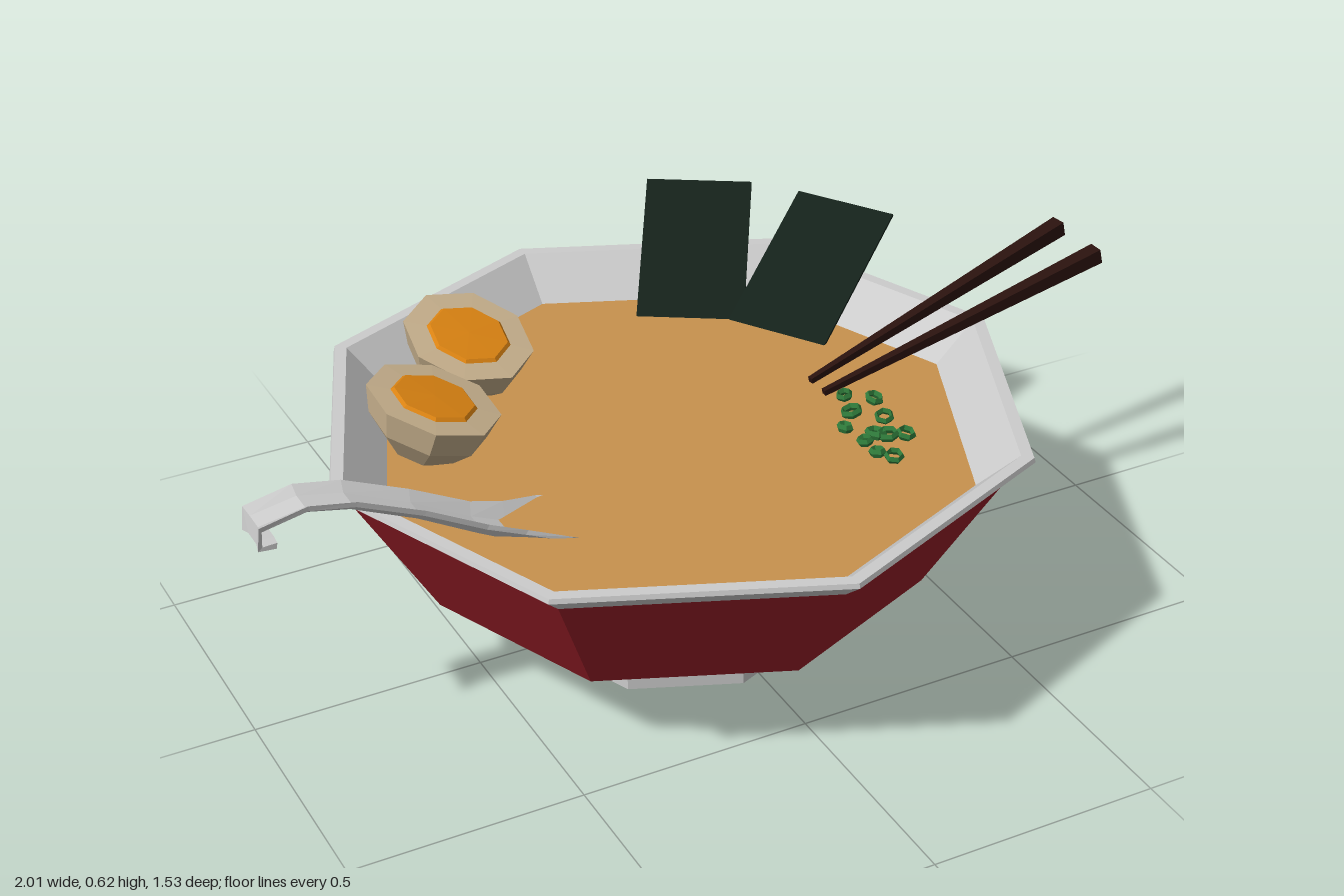
import * as THREE from 'three';

const V = (x, y, z) => new THREE.Vector3(x, y, z);
const mat = (color, side = THREE.FrontSide) =>
  new THREE.MeshStandardMaterial({ color, flatShading: true, side });

const grey = mat(0xcccccc);
const red = mat(0x9a1f28);
const broth = mat(0xc8924e);
const eggWhite = mat(0xc4ae8b);
const yolkOrange = mat(0xd98212);
const seaweed = mat(0x14211a);
const wood = mat(0x2a120e);
const green = mat(0x2f7a3a);

function add(parent, name, geometry, material) {
  const mesh = new THREE.Mesh(geometry, material);
  mesh.name = name;
  parent.add(mesh);
  return mesh;
}

// Eight-sided turned shape from [radius, height] pairs
const turned = (pairs) =>
  new THREE.LatheGeometry(pairs.map(([r, y]) => new THREE.Vector2(r, y)), 8);

// Closed skin over equal-sized rings of points, with both ends capped
function loft(rings) {
  const n = rings[0].length;
  const index = [];
  for (let i = 0; i < rings.length - 1; i++) {
    for (let j = 0; j < n; j++) {
      const a = i * n + j, b = i * n + (j + 1) % n;
      index.push(a, b, a + n, b, b + n, a + n);
    }
  }
  const last = (rings.length - 1) * n;
  for (let j = 1; j < n - 1; j++) {
    index.push(0, j + 1, j, last, last + j, last + j + 1);
  }
  const geometry = new THREE.BufferGeometry().setFromPoints(rings.flat());
  geometry.setIndex(index);
  geometry.computeVertexNormals();
  return geometry;
}

function makeBowl() {
  const bowl = new THREE.Group();
  bowl.name = 'bowl';
  bowl.position.set(-0.045, 0, 0.005);
  add(bowl, 'foot', turned([[0, 0], [0.315, 0], [0.315, 0.085]]), grey);
  add(bowl, 'outerWall', turned([[0.315, 0.085], [0.54, 0.178], [0.71, 0.465]]), red);
  add(bowl, 'rim', turned([[0.71, 0.465], [0.76, 0.508], [0.757, 0.518], [0.73, 0.518], [0.64, 0.43]]), grey);
  add(bowl, 'soup', turned([[0.642, 0.432], [0, 0.432]]), broth);
  return bowl;
}

// Halved egg, its cut face tilted by the given angles
function makeEgg(x, z, tiltX, tiltZ, turn) {
  const egg = new THREE.Group();
  egg.name = 'halfEgg';
  egg.position.set(x, 0.547, z);
  egg.rotation.set(tiltX, 0, tiltZ);
  const body = new THREE.Group();
  body.name = 'eggBody';
  body.rotation.y = turn;
  body.scale.set(0.94, 1, 1.04);
  egg.add(body);
  add(body, 'eggWhite', turned([[0, -0.13], [0.075, -0.115], [0.125, -0.06], [0.143, 0], [0.088, 0.002]]), eggWhite);
  add(body, 'yolk', turned([[0.094, 0], [0.085, 0.008], [0, 0.01]]), yolkOrange);
  return egg;
}

// Thin rectangular sheet: middle of the top edge, its width vector and its downward vector
function makeSheet(top, across, down) {
  const geometry = new THREE.BoxGeometry(across.length(), down.length(), 0.006);
  const x = across.clone().normalize();
  const y = down.clone().negate().normalize();
  const z = x.clone().cross(y).normalize();
  geometry.applyMatrix4(new THREE.Matrix4().makeBasis(x, z.clone().cross(x), z));
  const centre = top.clone().addScaledVector(down, 0.5);
  return geometry.translate(centre.x, centre.y, centre.z);
}

// Square stick, thin at the tip and thick at the end
function makeStick(tip, end) {
  const axis = end.clone().sub(tip);
  const geometry = new THREE.CylinderGeometry(0.024, 0.009, axis.length(), 4);
  geometry.rotateY(Math.PI / 4);
  // Lay the stick along +z, then aim it
  geometry.rotateX(Math.PI / 2);
  const centre = tip.clone().add(end).multiplyScalar(0.5);
  geometry.applyMatrix4(new THREE.Matrix4().lookAt(end, tip, V(0, 1, 0)));
  return geometry.translate(centre.x, centre.y, centre.z);
}

// Channelled spoon: [x, y, z, half width, edge height] along its length
function makeSpoon() {
  const stations = [
    [-0.965, 0.522, 0.108, 0.040, 0.004],
    [-0.998, 0.528, 0.107, 0.044, 0.008],
    [-0.992, 0.562, 0.107, 0.045, 0.015],
    [-0.90, 0.583, 0.115, 0.045, 0.018],
    [-0.81, 0.568, 0.124, 0.045, 0.020],
    [-0.68, 0.515, 0.138, 0.045, 0.022],
    [-0.56, 0.452, 0.151, 0.048, 0.026],
    [-0.49, 0.420, 0.160, 0.060, 0.036],
    [-0.41, 0.385, 0.172, 0.086, 0.052],
    [-0.27, 0.365, 0.187, 0.090, 0.040],
  ];
  const section = [[-1, 1], [-0.5, 0.2], [0.5, 0.2], [1, 1]];
  const rings = stations.map(([x, y, z, w, h], i) => {
    const a = stations[Math.max(i - 1, 0)], b = stations[Math.min(i + 1, stations.length - 1)];
    const normal = new THREE.Vector2(a[1] - b[1], b[0] - a[0]).normalize();
    const point = (s, lift) => V(x + normal.x * lift, y + normal.y * lift, z + s * w);
    const upper = section.map(([s, t]) => point(s, t * h));
    const lower = section.map(([s, t]) => point(s * 0.96, t * h - 0.012)).reverse();
    return [...upper, ...lower];
  });
  return loft(rings);
}

export function createModel() {
  const model = new THREE.Group();
  model.name = 'noodleSoupBowl';
  model.add(makeBowl());

  // Half eggs leaning on the rim
  model.add(makeEgg(-0.33, -0.39, 0.27, -0.08, 0.25));
  model.add(makeEgg(-0.50, -0.18, 0.10, -0.24, 0.35));

  // Seaweed sheets
  add(model, 'seaweedSheet', makeSheet(V(0.39, 0.61, -0.703), V(0.205, 0, 0.125), V(-0.18, -0.19, 0.29)), seaweed);
  add(model, 'seaweedSheet', makeSheet(V(0.634, 0.605, -0.46), V(0.13, 0, 0.2), V(-0.29, -0.185, 0.19)), seaweed);

  // Chopsticks
  for (const [z0, z1] of [[-0.035, -0.137], [0.022, -0.012 + 0.022]]) {
    add(model, 'chopstick', makeStick(V(0.305, 0.45, z0), V(0.996, 0.608, z1)), wood);
  }

  add(model, 'spoon', makeSpoon(), mat(0xcccccc, THREE.DoubleSide));

  // Chopped spring onion rings
  const spots = [
    [0.345, 0.04], [0.395, 0.08], [0.325, 0.105], [0.28, 0.155], [0.375, 0.155], [0.325, 0.205],
    [0.29, 0.22], [0.38, 0.235], [0.345, 0.22], [0.29, 0.27], [0.312, 0.30],
  ];
  spots.forEach(([x, z], i) => {
    const ring = add(model, 'springOnionRing', new THREE.TorusGeometry(0.014 + 0.003 * (i % 3), 0.005, 4, 6), green);
    ring.scale.z = 1.8;
    ring.rotation.set(Math.PI / 2 + 0.2 * Math.sin(i * 2), 0.2 * Math.cos(i * 3), i);
    ring.position.set(x, 0.442, z);
  });

  return model;
}
